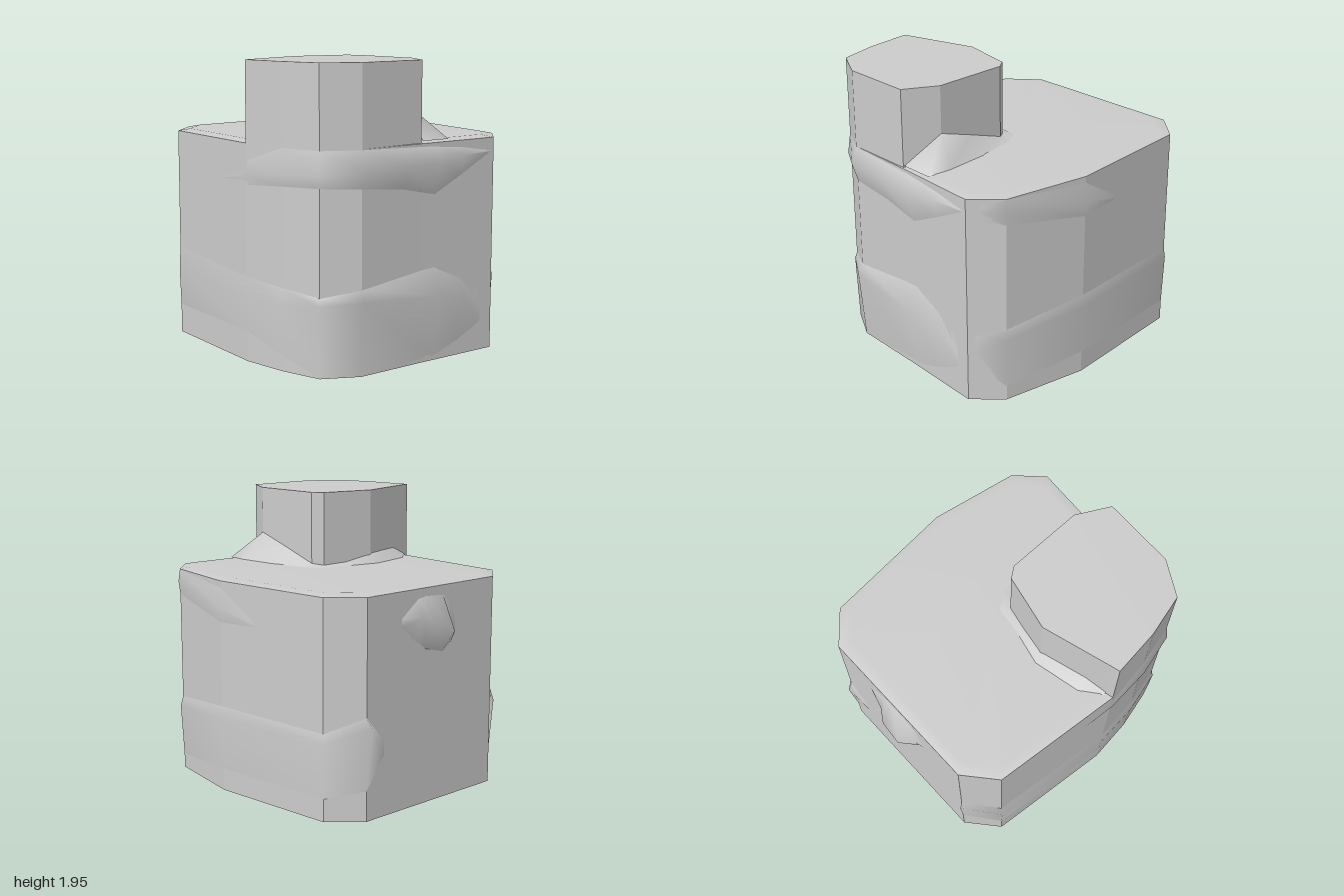
import * as THREE from 'three';

const material = new THREE.MeshStandardMaterial({ color: 0xcccccc, side: THREE.DoubleSide });

// Plan outlines as [x, z]
const BODY = [[-0.895, 0.57], [-0.715, 0.78], [0.18, 0.865], [0.5, 0.83], [0.78, 0.76], [0.91, 0.53], [0.93, 0.04],
  [0.965, -0.58], [0.79, -0.755], [0.2, -0.865], [-0.715, -0.8], [-0.895, -0.6]];
const TOWER = [[0.03, 0.34], [0.165, 0.81], [0.18, 0.865], [0.5, 0.83], [0.78, 0.76], [0.91, 0.53], [0.92, 0.04],
  [0.7, -0.08], [0.18, -0.08], [0.11, -0.03]];

function add(group, name, geometry) {
  const mesh = new THREE.Mesh(geometry, material);
  mesh.name = name;
  group.add(mesh);
}

// Vertical prism over a plan outline
function prism(outline, y0, y1) {
  const shape = new THREE.Shape(outline.map(([x, z]) => new THREE.Vector2(x, -z)));
  const geometry = new THREE.ExtrudeGeometry(shape, { depth: y1 - y0, bevelEnabled: false });
  return geometry.rotateX(-Math.PI / 2).translate(0, y0, 0);
}

// Smooth sheet over a list of cross-sections with equal point counts
function sheet(sections) {
  const n = sections[0].length, index = [];
  for (let i = 0; i < sections.length - 1; i++) {
    for (let j = 0; j < n - 1; j++) {
      const a = i * n + j, b = a + n;
      index.push(a, b, a + 1, b, b + 1, a + 1);
    }
  }
  const geometry = new THREE.BufferGeometry();
  geometry.setAttribute('position', new THREE.Float32BufferAttribute(sections.flat(2), 3));
  geometry.setIndex(index);
  geometry.computeVertexNormals();
  return geometry;
}

// Swelling on a wall: columns of [x, z, pushX, pushZ, lowY, peakY, highY]
function bulge(columns) {
  return sheet(columns.map(([x, z, px, pz, low, peak, high]) =>
    [[x, low, z], [x + px, peak, z + pz], [x, high, z]]));
}

export function createModel() {
  const group = new THREE.Group();
  add(group, 'body', prism(BODY, 0, 1.425));
  add(group, 'tower', prism(TOWER, 1.4, 1.95));

  // Low roof: a shallow slope up to a flat crown
  const roof = [...BODY, BODY[0]].map(([x, z]) =>
    [[x, 1.425, z], [x * 0.92, 1.44, z * 0.92], [0, 1.44, 0]]);
  add(group, 'roof', sheet(roof));

  // Skirt climbing the tower walls: [x, z, height, footX, footZ]
  const skirt = [[0.165, 0.81, 1.45, 0.15, 0.82], [0.125, 0.66, 1.51, 0.04, 0.68], [0.04, 0.36, 1.51, -0.03, 0.36],
    [0.07, 0.15, 1.46, 0.02, 0.14], [0.11, -0.03, 1.45, 0.05, -0.1], [0.18, -0.08, 1.46, 0.15, -0.16],
    [0.45, -0.08, 1.55, 0.45, -0.2], [0.7, -0.08, 1.63, 0.75, -0.22], [0.92, 0.03, 1.44, 0.92, -0.2]];
  add(group, 'towerSkirt', sheet(skirt.map(([x, z, y, fx, fz]) =>
    [[fx, 1.437, fz], [x, y, z]])));

  // Upper band around the front right corner and along the right wall
  add(group, 'upperBand', bulge([
    [-0.15, 0.833, 0, 0, 1.15, 1.16, 1.17], [0.2, 0.863, 0, 0.008, 1.16, 1.22, 1.32],
    [0.5, 0.83, 0, 0.025, 1.18, 1.26, 1.42], [0.78, 0.76, 0.01, 0.02, 1.19, 1.27, 1.42],
    [0.91, 0.53, 0.035, 0.01, 1.18, 1.3, 1.42], [0.925, 0.2, 0.055, 0, 1.15, 1.3, 1.41],
    [0.935, -0.07, 0.06, 0, 1.09, 1.3, 1.4], [0.948, -0.3, 0.03, 0, 1.2, 1.33, 1.38],
    [0.963, -0.55, 0, 0, 1.33, 1.34, 1.35]]));

  // Lower band on the front and right
  add(group, 'lowerBand', bulge([
    [-0.895, 0.57, -0.025, 0.01, 0.25, 0.58, 0.66], [-0.715, 0.78, 0, 0.01, 0.2, 0.45, 0.61],
    [0.18, 0.865, 0, 0.008, 0.2, 0.42, 0.56], [0.5, 0.83, 0, 0.015, 0.1, 0.42, 0.54],
    [0.78, 0.76, 0.008, 0.015, 0, 0.46, 0.51], [0.91, 0.53, 0.035, 0.01, 0, 0.48, 0.55],
    [0.932, -0.07, 0.065, 0, 0, 0.44, 0.63], [0.948, -0.3, 0.03, 0, 0.1, 0.4, 0.52],
    [0.96, -0.48, 0, 0, 0.2, 0.3, 0.4]]));

  // Lower band on the back
  add(group, 'backLowerBand', bulge([
    [0.93, -0.615, 0, 0, 0.25, 0.35, 0.47], [0.79, -0.755, 0.01, -0.015, 0.1, 0.45, 0.52],
    [0.2, -0.865, 0, -0.015, 0.15, 0.5, 0.58], [-0.715, -0.8, -0.005, -0.01, 0.15, 0.5, 0.57],
    [-0.895, -0.6, -0.04, 0.01, 0.2, 0.61, 0.67], [-0.895, -0.45, 0, 0, 0.4, 0.5, 0.55]]));

  // Wedge high on the back wall
  add(group, 'backUpperWedge', bulge([
    [0.9, -0.645, 0, 0, 1.28, 1.33, 1.38], [0.79, -0.755, 0.005, -0.01, 1.25, 1.34, 1.42],
    [0.2, -0.865, 0, -0.015, 1.15, 1.25, 1.38], [-0.1, -0.844, 0, 0, 1.16, 1.18, 1.2]]));

  // Knob on the left wall
  add(group, 'leftKnob', bulge([
    [-0.895, -0.3, 0, 0, 1.15, 1.2, 1.25], [-0.895, -0.15, -0.045, 0, 1.08, 1.25, 1.36],
    [-0.895, -0.08, -0.095, 0, 1.03, 1.17, 1.37], [-0.895, 0.08, -0.105, 0, 0.99, 1.14, 1.36],
    [-0.895, 0.16, -0.02, 0, 1.04, 1.15, 1.3], [-0.895, 0.2, 0, 0, 1.1, 1.15, 1.2]]));
  return group;
}
